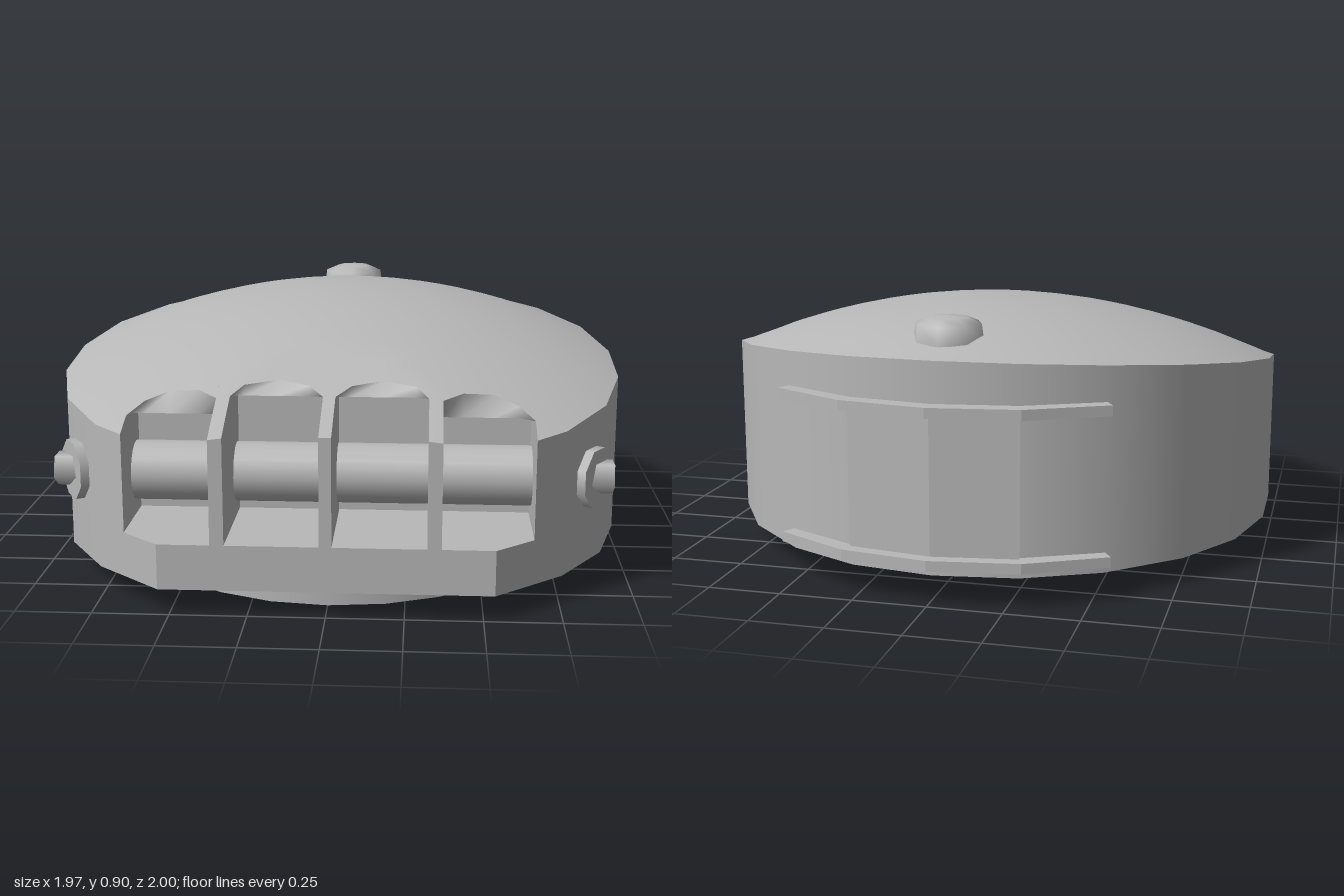
import * as THREE from 'three';

const BOTTOM = 0.085, FLOOR = 0.235, RECESS = 0.6;

// Half plan of the body, front to back, on the +x side
const HALF = [[0.535, 1], [0.76, 0.8], [0.91, 0.56], [0.985, 0.27], [0.985, -0.02],
  [0.91, -0.32], [0.76, -0.57], [0.53, -0.78], [0.28, -0.9], [0, -0.94]];
const FRONT = [[0, 1], ...HALF.slice(0, 4)];
const BACK = HALF.slice(4).reverse();
const STOPS = [0.02, 0.07, 0.17, 0.28, 0.32, 0.365, 0.43, 0.53, 0.61, 0.66, 0.76, 0.91, 0.985];
const ROWS = 24;
// Firing ports: x stops across the opening, ceiling height and cheek end
const ARCH = [0.79, 0.73, 0.7, 0.73, 0.79];
const PORTS = [
  { xs: [0.02, 0.07, 0.17, 0.28, 0.32], ceiling: 0.66, front: 1 },
  { xs: [0.365, 0.43, 0.53, 0.61, 0.66], ceiling: 0.597, front: 0.889 },
];

function along(points, x) {
  x = Math.abs(x);
  for (let i = 1; i < points.length; i++) {
    const [x0, z0] = points[i - 1], [x1, z1] = points[i];
    if (x <= x1 + 1e-6) return z0 + (z1 - z0) * (x - x0) / (x1 - x0);
  }
  return points[points.length - 1][1];
}
const frontZ = x => along(FRONT, x);
const backZ = x => along(BACK, x);
// Where the main roof ends and the notched front begins
const splitZ = x => Math.min(0.56, frontZ(x));

// Roof height: a sloping rim plane with a shallow dome, flattened at the front
function roofY(x, z) {
  const r2 = Math.min(1, 1.04 * (x * x + ((z - 0.125) / 1.065) ** 2));
  const dome = 0.56 + 0.123 * (0.89 - z) + 0.212 * (1 - r2) * (1.012 - 0.1 * z);
  return Math.min(dome, 0.79 - 0.385 * (z - 0.48));
}

// Surface through a grid of points
function loft(rows, flat = false) {
  const n = rows[0].length, index = [];
  for (let i = 0; i < rows.length - 1; i++) {
    for (let j = 0; j < n - 1; j++) {
      const a = i * n + j, d = a + n;
      index.push(a, a + 1, d, a + 1, d + 1, d);
    }
  }
  let g = new THREE.BufferGeometry();
  g.setAttribute('position', new THREE.Float32BufferAttribute(rows.flat(2), 3));
  g.setIndex(index);
  if (flat) g = g.toNonIndexed();
  g.computeVertexNormals();
  return g;
}

// Replace normals by a smooth rule of x and z
function smooth(g, rule) {
  const p = g.attributes.position, v = new THREE.Vector3();
  for (let i = 0; i < p.count; i++) {
    v.set(...rule(p.getX(i), p.getZ(i))).normalize();
    g.attributes.normal.setXYZ(i, v.x, v.y, v.z);
  }
  return g;
}

// Upright wall along a plan path
const wall = (path, y0, top, flat) =>
  loft(path.map(([x, z]) => [[x, y0, z], [x, typeof top === 'number' ? top : top(x, z), z]]), flat);

// Strip of roof between two edges
function roofStrip(xs, zBack, zFront, n) {
  const g = loft(xs.map((x, i) => Array.from({ length: n + 1 }, (_, j) => {
    const z = THREE.MathUtils.lerp(zBack(x), zFront(x, i), j / n);
    return [x, roofY(x, z), z];
  })));
  const e = 0.04;
  return smooth(g, (px, pz) => {
    const x = px * 0.95, z = pz * 0.95;
    return [roofY(x - e, z) - roofY(x + e, z), 2 * e, roofY(x, z - e) - roofY(x, z + e)];
  });
}

const shapeOf = points => new THREE.Shape(points.map(([x, z]) => new THREE.Vector2(x, -z)));
const mirrorX = points => points.map(([x, z]) => [-x, z]);

export function createModel() {
  const model = new THREE.Group();
  const grey = new THREE.MeshStandardMaterial({ color: 0xb8b8b8, side: THREE.DoubleSide });
  grey.name = 'grey armour';
  const add = (name, geometry, parent = model) => {
    const m = new THREE.Mesh(geometry, grey);
    m.name = name;
    parent.add(m);
    return m;
  };

  // Hollow turret ring, open below
  add('baseRing', new THREE.CylinderGeometry(0.725, 0.725, BOTTOM, 24, 1, true)).position.set(0, BOTTOM / 2, 0.165);

  // Body underside and port floor
  const outline = [...HALF, ...mirrorX(HALF).reverse().slice(1)];
  const plan = () => new THREE.ShapeGeometry(shapeOf(outline)).rotateX(-Math.PI / 2);
  add('portFloor', plan()).position.y = FLOOR;
  const under = plan();
  under.setIndex([...under.index.array].reverse());
  under.computeVertexNormals();
  add('underside', under).position.y = BOTTOM;

  // Curved side wall, sampled at the same stops as the roof
  const side = [0.66, 0.76, 0.91].map(x => [x, frontZ(x)]);
  for (let j = ROWS; j >= 0; j--) side.push([0.985, -0.02 + 0.29 * j / ROWS]);
  STOPS.slice(0, -1).reverse().forEach(x => side.push([x, backZ(x)]));
  side.push([0, -0.94]);
  const sideWall = wall([...mirrorX(side), ...side.slice(0, -1).reverse()], BOTTOM, roofY);
  add('sideWall', smooth(sideWall, (x, z) => [x, 0, (z - 0.125) / 1.134]));
  add('frontSill', wall([[0.66, 0.889], [0.535, 1], [-0.535, 1], [-0.66, 0.889]], BOTTOM, FLOOR, true));

  // Roof: one main shell, then front strips notched by the ports
  const roof = new THREE.Group();
  roof.name = 'roof';
  model.add(roof);
  const allStops = [...STOPS.map(x => -x).reverse(), 0, ...STOPS];
  add('roofShell', roofStrip(allStops, backZ, splitZ, ROWS), roof);
  add('roofCentre', roofStrip([-0.02, 0, 0.02], splitZ, frontZ, 6), roof);
  const ports = new THREE.Group();
  ports.name = 'ports';
  model.add(ports);
  const dividerFront = (a, b) => add('dividerFront', wall([[b, 1], [a, 1]], FLOOR, roofY), ports);
  dividerFront(-0.02, 0.02);

  for (const s of [1, -1]) {
    const flip = xs => s > 0 ? xs : xs.map(x => -x).reverse();
    add('roofSide', roofStrip(flip([0.66, 0.76, 0.91]), splitZ, frontZ, 6), roof);
    add('roofDivider', roofStrip(flip([0.32, 0.365]), splitZ, frontZ, 6), roof);
    dividerFront(...flip([0.32, 0.365]));

    for (const { xs, ceiling, front } of PORTS) {
      const px = flip(xs), a = px[0], b = px[4];
      add('roofPort', roofStrip(px, splitZ, (x, i) => ARCH[i], 6), roof);
      // Arched lip, ceiling and back of the port
      add('portLip', loft(px.map((x, i) => [[x, ceiling, 0.74], [x, roofY(x, ARCH[i]), ARCH[i]]]).reverse()), ports);
      add('portCeiling', loft([a, b].map(x => [[x, ceiling, 0.74], [x, ceiling, RECESS]])), ports);
      add('portBack', wall([[b, RECESS], [a, RECESS]], FLOOR, ceiling), ports);
      // Port cheeks
      const cheek = x => Array.from({ length: 7 }, (_, i) =>
        [x, RECESS + ((Math.abs(x) > 0.6 ? front : 1) - RECESS) * i / 6]);
      add('portCheek', wall(cheek(a), FLOOR, roofY), ports);
      add('portCheek', wall(cheek(b).reverse(), FLOOR, roofY), ports);
    }

    // Trunnion bolt: washer flush on the wall and a five sided pin
    const bolt = new THREE.Group();
    bolt.name = s > 0 ? 'leftBolt' : 'rightBolt';
    model.add(bolt);
    const disc = new THREE.CylinderGeometry(0.103, 0.103, 0.05, 8).rotateY(Math.PI / 8).rotateZ(-Math.PI / 2);
    const washer = add('washer', disc, bolt);
    washer.position.set(s * 0.86, 0.38, 0.65);
    washer.rotation.y = s > 0 ? -0.56 : Math.PI + 0.56;
    const shank = new THREE.CylinderGeometry(0.06, 0.06, 0.15, 5).rotateY(-Math.PI / 2).rotateZ(Math.PI / 2);
    add('pin', shank, bolt).position.set(s * 0.857, 0.38, 0.645);
  }

  // Trunnion bar running through all ports
  const bar = add('trunnionBar', new THREE.CylinderGeometry(0.1, 0.1, 1.34, 20).rotateZ(Math.PI / 2));
  bar.position.set(0, 0.38, 0.65);

  // Rear rails and the panel between them
  const outer = [[0.56, -0.82], [0.3, -0.955], [0, -1]];
  const inner = [[0, -0.93], [0.27, -0.89], [0.53, -0.768]];
  const rail = shapeOf([...outer, ...mirrorX(outer).reverse().slice(1), ...mirrorX(inner).reverse(), ...inner.slice(1)]);
  for (const y of [0.118, 0.613]) {
    add('rearRail', new THREE.ExtrudeGeometry(rail, { depth: 0.035, bevelEnabled: false }).rotateX(-Math.PI / 2)).position.y = y;
  }
  const panel = shapeOf([[0.285, -0.913], [0, -0.955], [-0.285, -0.913], [-0.275, -0.88], [0, -0.92], [0.275, -0.88]]);
  add('rearPanel', new THREE.ExtrudeGeometry(panel, { depth: 0.48, bevelEnabled: false }).rotateX(-Math.PI / 2)).position.y = 0.14;

  // Roof vent cap
  const profile = [[0.12, 0], [0.112, 0.06], [0.065, 0.08], [0, 0.086]].map(p => new THREE.Vector2(...p));
  add('roofVent', new THREE.LatheGeometry(profile, 8)).position.set(0, 0.81, -0.72);

  return model;
}
